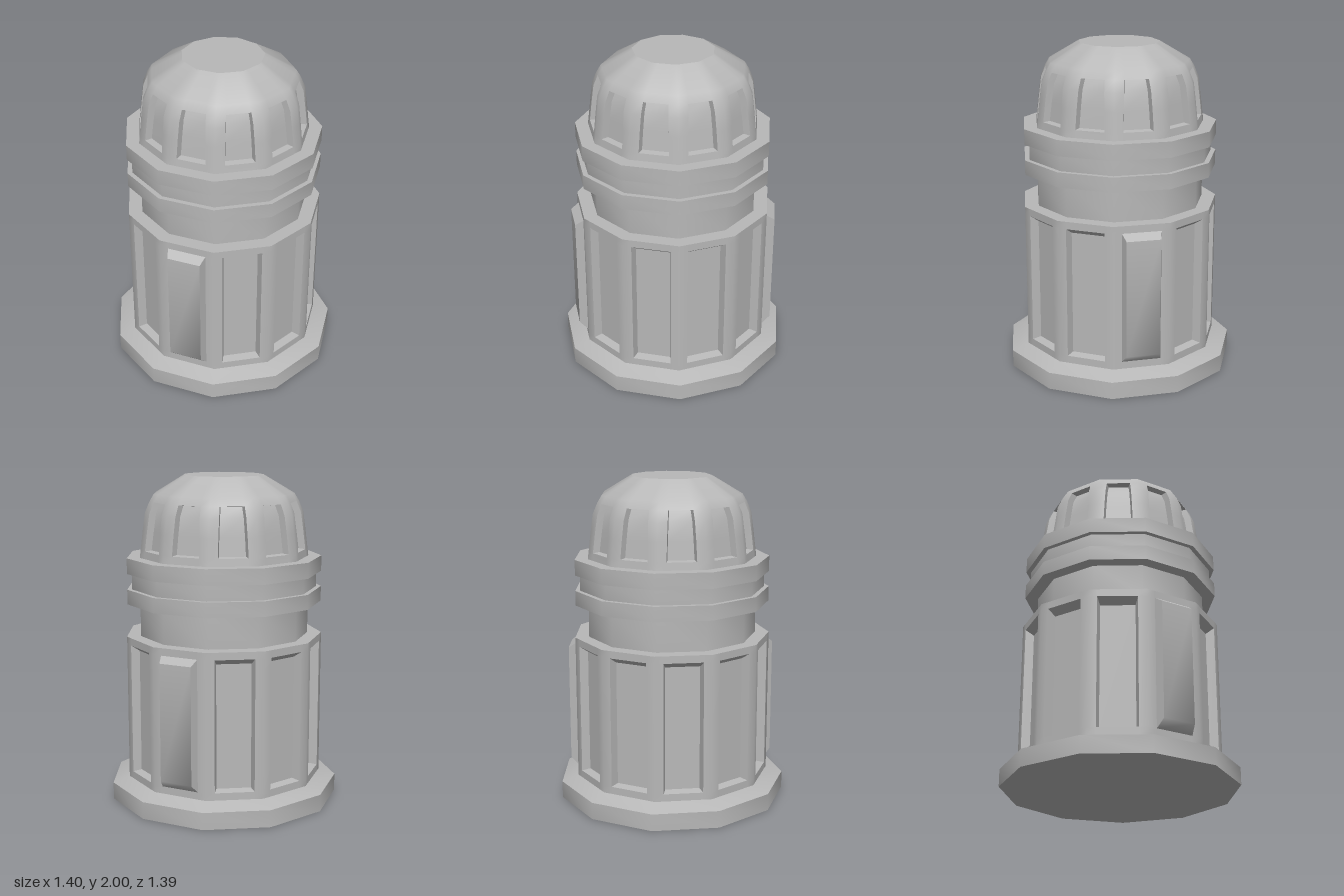
import * as THREE from 'three';
import { toCreasedNormals } from 'three/addons/utils/BufferGeometryUtils.js';

const SIDES = 11;
const STEP = (Math.PI * 2) / SIDES;
const CREASE = 0.8;

// Collects quads (corners counter-clockwise seen from outside).
function quadCollector() {
  const pos = [];
  return {
    quad(a, b, c, d) { for (const p of [a, b, c, a, c, d]) pos.push(p.x, p.y, p.z); },
    build() {
      const g = new THREE.BufferGeometry();
      g.setAttribute('position', new THREE.Float32BufferAttribute(pos, 3));
      return toCreasedNormals(g, CREASE);
    },
  };
}

// Point on side k: t across the side, height y, distance a from the axis.
function sidePoint(k, t, y, a) {
  const q = (k + 0.5) * STEP;
  return new THREE.Vector3(t * Math.cos(q) + a * Math.sin(q), y, a * Math.cos(q) - t * Math.sin(q));
}

// Walls with one framed panel per side. rows: [radius, y, half width of opening];
// the opening spans rows first..last. floorOf(k) gives depth, narrowing and y insets.
function panelledWall(rows, first, last, floorOf) {
  const wall = quadCollector(), panels = quadCollector();
  for (let k = 0; k < SIDES; k++) {
    const { depth, narrow, bottom, top } = floorOf(k);
    const grid = rows.map(([r, y, w]) => {
      const a = r * Math.cos(STEP / 2), edge = r * Math.sin(STEP / 2);
      return [-edge, -w, w, edge].map((t) => sidePoint(k, t, y, a));
    });
    const floor = rows.map(([r, y, w], i) => {
      const a = r * Math.cos(STEP / 2) - depth;
      const fy = y + (i === first ? bottom : i === last ? -top : 0);
      return [-1, 1].map((s) => sidePoint(k, s * (w - narrow), fy, a));
    });
    for (let i = 0; i < rows.length - 1; i++) {
      const lo = grid[i], hi = grid[i + 1];
      const open = i >= first && i < last;
      for (let c = 0; c < 3; c++) {
        if (!(open && c === 1)) wall.quad(lo[c], lo[c + 1], hi[c + 1], hi[c]);
      }
      if (open) {
        const f = floor[i], h = floor[i + 1];
        panels.quad(f[0], f[1], h[1], h[0]);
        panels.quad(lo[1], f[0], h[0], hi[1]);
        panels.quad(f[1], lo[2], hi[2], h[1]);
      }
    }
    const lo = grid[first], hi = grid[last];
    panels.quad(lo[1], lo[2], floor[first][1], floor[first][0]);
    panels.quad(floor[last][0], floor[last][1], hi[2], hi[1]);
  }
  return [wall.build(), panels.build()];
}

function lathe(points) {
  const g = new THREE.LatheGeometry(points.map(([r, y]) => new THREE.Vector2(r, y)), SIDES);
  return toCreasedNormals(g, CREASE);
}

export function createModel() {
  const group = new THREE.Group();
  const grey = new THREE.MeshStandardMaterial({ color: 0xb8b8b8 });
  grey.name = 'plain grey';
  const add = (name, geometry) => {
    const mesh = new THREE.Mesh(geometry, grey);
    mesh.name = name;
    mesh.position.z = -0.014; // balances the point in front and the flat side behind
    group.add(mesh);
  };

  // Foot with a shallow sloping top
  add('base', lathe([[0, 0], [0.709, 0], [0.709, 0.105], [0.606, 0.14]]));

  // Body: sunken panels, with one raised panel in front and one behind
  const raised = { depth: -0.05, narrow: 0.016, bottom: 0.05, top: 0.035 };
  const sunken = { depth: 0.05, narrow: 0.015, bottom: 0.01, top: 0.035 };
  const [bodyWall, bodyPanels] = panelledWall(
    [[0.606, 0.14, 0.118], [0.606, 0.185, 0.118], [0.606, 0.985, 0.118], [0.606, 1.03, 0.118]],
    1, 2, (k) => (k === 0 || k === 5 ? raised : sunken));
  add('bodyWall', bodyWall);
  add('bodyPanels', bodyPanels);

  // Neck and the double-ringed collar
  add('neck', lathe([[0.606, 1.03], [0.52, 1.03], [0.52, 1.23]]));
  add('collar', lathe([[0.52, 1.23], [0.6, 1.23], [0.6, 1.32], [0.57, 1.32], [0.57, 1.415],
    [0.6, 1.415], [0.6, 1.51], [0.52, 1.51]]));

  // Dome with narrow recesses around it
  const [domeWall, domeRecesses] = panelledWall(
    [[0.52, 1.51, 0.088], [0.514, 1.555, 0.088], [0.5, 1.67, 0.084], [0.485, 1.78, 0.078],
      [0.457, 1.845, 0.072], [0.43, 1.89, 0.066], [0.245, 2, 0.036]],
    1, 4, () => ({ depth: 0.04, narrow: 0.01, bottom: 0.005, top: 0.005 }));
  add('domeWall', domeWall);
  add('domeRecesses', domeRecesses);
  add('domeTop', lathe([[0.245, 2], [0, 2]]));

  return group;
}
